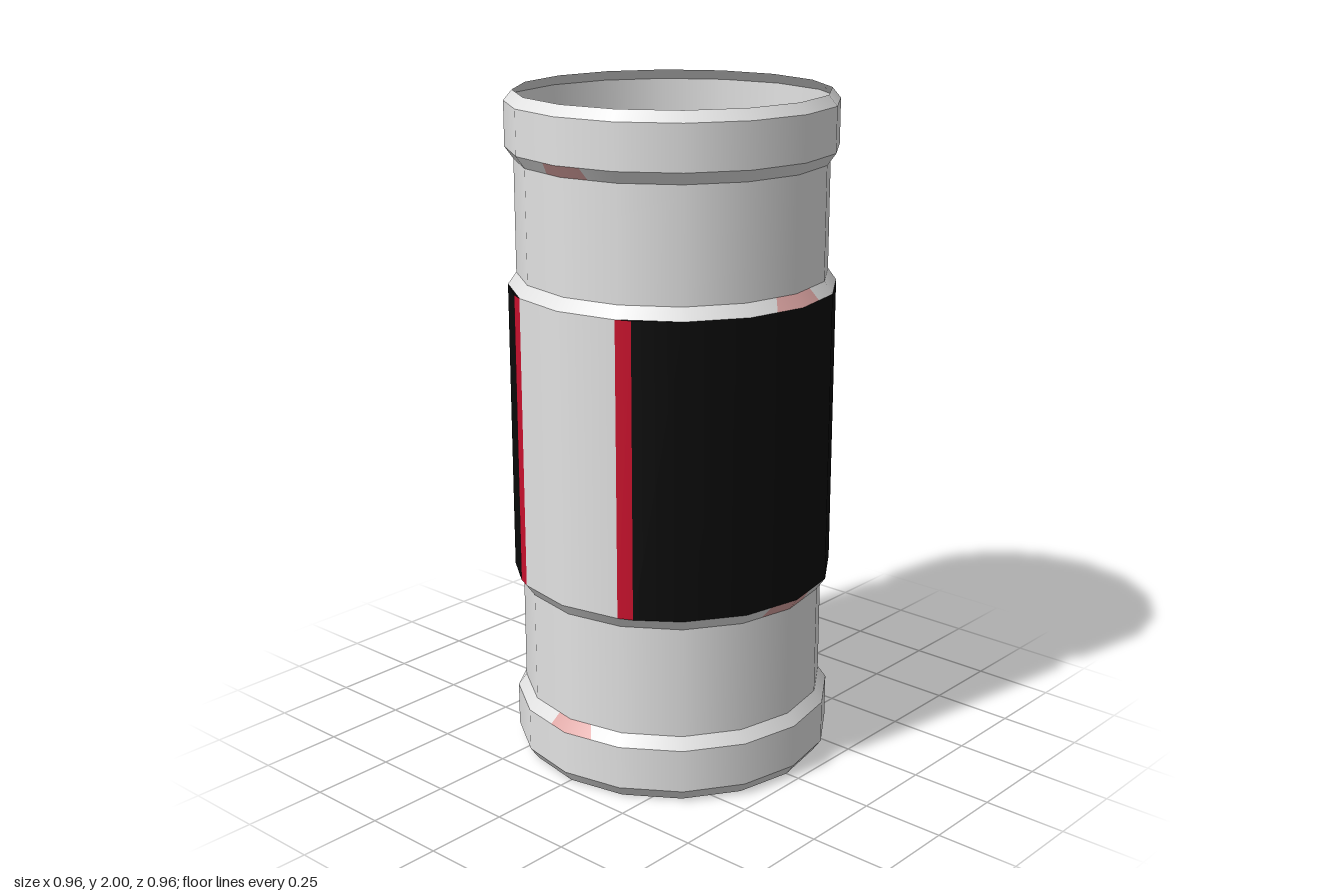
import * as THREE from 'three';

const STEP = 22.5; // sixteen-sided tube

const mat = (name, color) => {
  const m = new THREE.MeshStandardMaterial({ color, side: THREE.DoubleSide });
  m.name = name;
  return m;
};

// Radius factor that keeps a point on the straight facet between two corners
function facet(deg) {
  const t = ((deg % STEP) + STEP) % STEP - STEP / 2;
  return Math.cos(THREE.MathUtils.degToRad(STEP / 2)) / Math.cos(THREE.MathUtils.degToRad(t));
}

// Sector of a conical band; angles run from the front (+z) towards +x.
// The slants shift the top end of each side; round puts the ends on the true circle.
function sector([r0, y0], [r1, y1], from, to, { slantFrom = 0, slantTo = 0, round = false } = {}) {
  const angles = [[from, from + slantFrom]];
  for (let a = (Math.floor(from / STEP) - 1) * STEP; a < to; a += STEP) {
    if (a > from + 0.1 && a < to - 0.1) angles.push([a, a]);
  }
  angles.push([to, to + slantTo]);
  const pos = [], nor = [], idx = [];
  const len = Math.hypot(y1 - y0, r1 - r0);
  const out = (y1 - y0) / len, up = (r0 - r1) / len;
  angles.forEach(([bottom, top], i) => {
    [[bottom, r0, y0], [top, r1, y1]].forEach(([deg, r, y]) => {
      const a = THREE.MathUtils.degToRad(deg);
      const rr = round ? r : r * facet(deg);
      pos.push(Math.sin(a) * rr, y, Math.cos(a) * rr);
      nor.push(Math.sin(a) * out, up, Math.cos(a) * out);
    });
    if (i > 0) {
      const k = 2 * i;
      idx.push(k - 2, k, k + 1, k - 2, k + 1, k - 1);
    }
  });
  const g = new THREE.BufferGeometry();
  g.setAttribute('position', new THREE.Float32BufferAttribute(pos, 3));
  g.setAttribute('normal', new THREE.Float32BufferAttribute(nor, 3));
  g.setIndex(idx);
  return g;
}

export function createModel() {
  const model = new THREE.Group();
  model.name = 'tube';
  const shell = mat('pale grey', 0xe2e2e2);
  const black = mat('black', 0x0a0a0a);
  const red = mat('red', 0xc8102c);
  const pink = mat('faded pink', 0xdda5a3);

  const add = (name, geometry, material) => {
    const m = new THREE.Mesh(geometry, material);
    m.name = name;
    model.add(m);
  };

  // Outline of the thin shell, bottom to top: [radius, height]
  const R = 0.48, r = 0.455;
  const profile = [
    [r, 0], [R, 0.035], [R, 0.165], [r, 0.2], [r, 0.535], [R, 0.57],
    [R, 1.44], [r, 1.475], [r, 1.805], [R, 1.84], [R, 1.97], [r, 2],
  ];
  const names = [
    'bottomBevel', 'bottomRim', 'bottomShoulder', 'lowerWall', 'lowerCollar', 'centreBand',
    'upperCollar', 'upperWall', 'topShoulder', 'topRim', 'topBevel',
  ];
  // Worn marks on four bevels, each repeated half a turn away
  const marks = {
    bottomShoulder: [81.5, 101, 1.5, -2],
    lowerCollar: [-13.5, 11, 2, -1.5],
    upperCollar: [-11, 12, 2, -1.5],
    topShoulder: [81.5, 101, 2, -1.5],
  };

  names.forEach((name, i) => {
    const lo = profile[i], hi = profile[i + 1];
    if (name === 'centreBand') {
      // Two wide black panels edged in red, with a bare strip on each side
      for (const turn of [0, 180]) {
        add('blackPanel', sector(lo, hi, turn - 62, turn + 62, { round: true }), black);
        add('redStripe', sector(lo, hi, turn + 62, turn + 67.5, { round: true }), red);
        add('redStripe', sector(lo, hi, turn - 67.5, turn - 62, { round: true }), red);
        add('sideStrip', sector(lo, hi, turn + 67.5, turn + 112.5), shell);
      }
    } else if (marks[name]) {
      const [a, b, sa, sb] = marks[name];
      for (const turn of [0, 180]) {
        add('wornMark', sector(lo, hi, a + turn, b + turn, { slantFrom: sa, slantTo: sb }), pink);
        add(name, sector(lo, hi, b + turn, a + turn + 180, { slantFrom: sb, slantTo: sa }), shell);
      }
    } else {
      add(name, sector(lo, hi, 0, 360), shell);
    }
  });
  return model;
}
